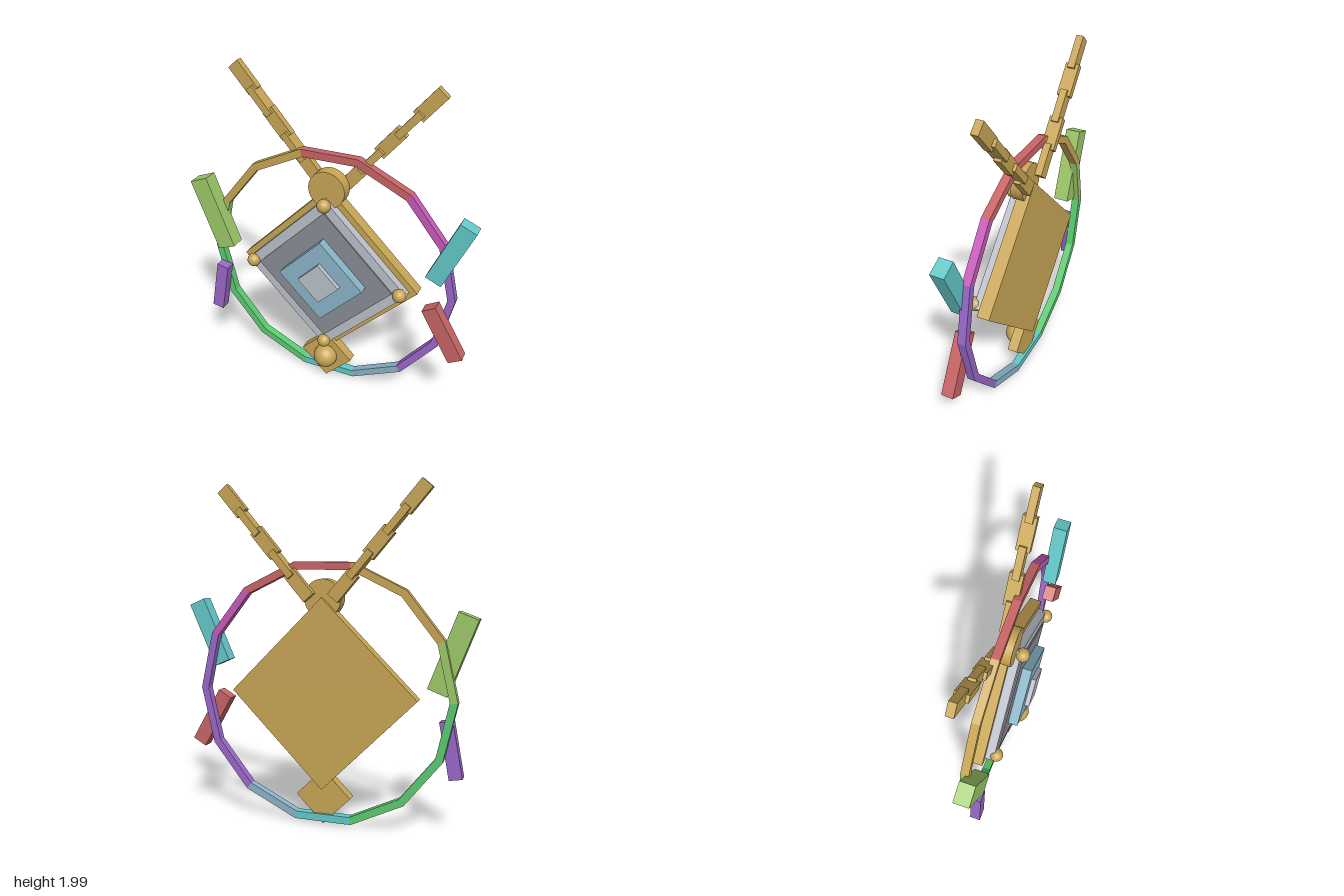
import * as THREE from 'three';

export function createModel() {
  const model = new THREE.Group();
  const mat = (name, color) => {
    const m = new THREE.MeshStandardMaterial({ color });
    m.name = name;
    return m;
  };
  const gold = mat('gold', 0xc8a555);
  const silver = mat('silver', 0xbcc0c9);
  const grey = mat('grey', 0x8a8c95);
  const blue = mat('paleBlue', 0x8ab4c8);
  const lime = mat('lime', 0x9dc868);
  const green = mat('green', 0x5cca70);
  const cyan = mat('cyan', 0x64c8c8);
  const purple = mat('purple', 0x9968c8);
  const red = mat('red', 0xc86466);
  const magenta = mat('magenta', 0xc85ab8);

  const CY = 0.79; // height of the medallion centre

  function add(name, geometry, material, x, y, z, rotZ = 0) {
    const mesh = new THREE.Mesh(geometry, material);
    mesh.name = name;
    mesh.position.set(x, y, z);
    mesh.rotation.z = rotZ;
    model.add(mesh);
    return mesh;
  }

  // Box between two depths, spun about z
  function slab(name, material, w, h, x, y, back, front, rotZ) {
    return add(name, new THREE.BoxGeometry(w, h, front - back), material, x, y, (back + front) / 2, rotZ);
  }
  const diamond = (name, material, side, y, back, front) =>
    slab(name, material, side, side, 0, y, back, front, Math.PI / 4);

  // Stepped diamond medallion
  diamond('basePlate', gold, 0.8, CY, -0.093, -0.018);
  diamond('silverPlate', silver, 0.728, CY, -0.018, 0.034);
  diamond('greyPlate', grey, 0.61, CY, 0.034, 0.042);
  diamond('bluePlate', blue, 0.378, CY, 0.042, 0.1);
  diamond('centrePlate', silver, 0.184, CY, 0.1, 0.128);

  // Corner studs
  for (const [x, y] of [[0.475, 0], [-0.475, 0], [0, 0.477], [0, -0.477]]) {
    add('cornerStud', new THREE.SphereGeometry(0.041, 20, 14), gold, x, CY + y, 0.04);
  }

  // Lower pendant with its ball
  diamond('pendantPlate', gold, 0.237, 0.174, -0.06, 0.004);
  add('pendantBall', new THREE.SphereGeometry(0.076, 24, 16), gold, 0, 0.174, 0.016);

  // Round boss at the top
  const boss = new THREE.CylinderGeometry(0.112, 0.112, 0.075, 32).rotateX(Math.PI / 2);
  add('topBoss', boss, gold, 0, 1.35, -0.032);

  // Fourteen-sided ring, counterclockwise from the model's left
  const ringColours = [purple, magenta, red, red, gold, gold, lime, green, green, green, cyan, blue, purple, purple];
  const step = (Math.PI * 2) / ringColours.length;
  const outer = 0.787, inner = 0.741;
  ringColours.forEach((material, i) => {
    const at = (r, k) => new THREE.Vector2(r * Math.cos(k * step), r * Math.sin(k * step));
    const shape = new THREE.Shape([at(inner, i), at(outer, i), at(outer, i + 1), at(inner, i + 1)]);
    const geometry = new THREE.ExtrudeGeometry(shape, { depth: 0.049, bevelEnabled: false });
    add('ringSegment', geometry, material, 0, CY, -0.075);
  });

  // Tilted bars around the ring
  const deg = THREE.MathUtils.degToRad;
  slab('upperRightBar', lime, 0.12, 0.464, -0.746, 1.053, -0.044, 0.048, deg(20.7));
  slab('upperLeftBar', cyan, 0.102, 0.405, 0.748, 1.127, -0.036, 0.046, deg(-24));
  slab('lowerLeftBar', red, 0.092, 0.367, 0.746, 0.588, -0.031, 0.042, deg(30));
  slab('lowerRightBar', purple, 0.078, 0.336, -0.746, 0.509, -0.028, 0.036, deg(-10.5));

  // Two chains of links, alternately flat and on edge
  const tilt = Math.atan2(0.1025, 0.12);
  for (const s of [-1, 1]) {
    for (let i = 0; i < 5; i++) {
      const flat = i % 2 === 0;
      const geometry = new THREE.BoxGeometry(flat ? 0.076 : 0.042, 0.188, flat ? 0.042 : 0.078);
      add('chainLink', geometry, gold, s * (0.133 + i * 0.1025), 1.425 + i * 0.12, -0.09, -s * tilt);
    }
  }
  return model;
}
